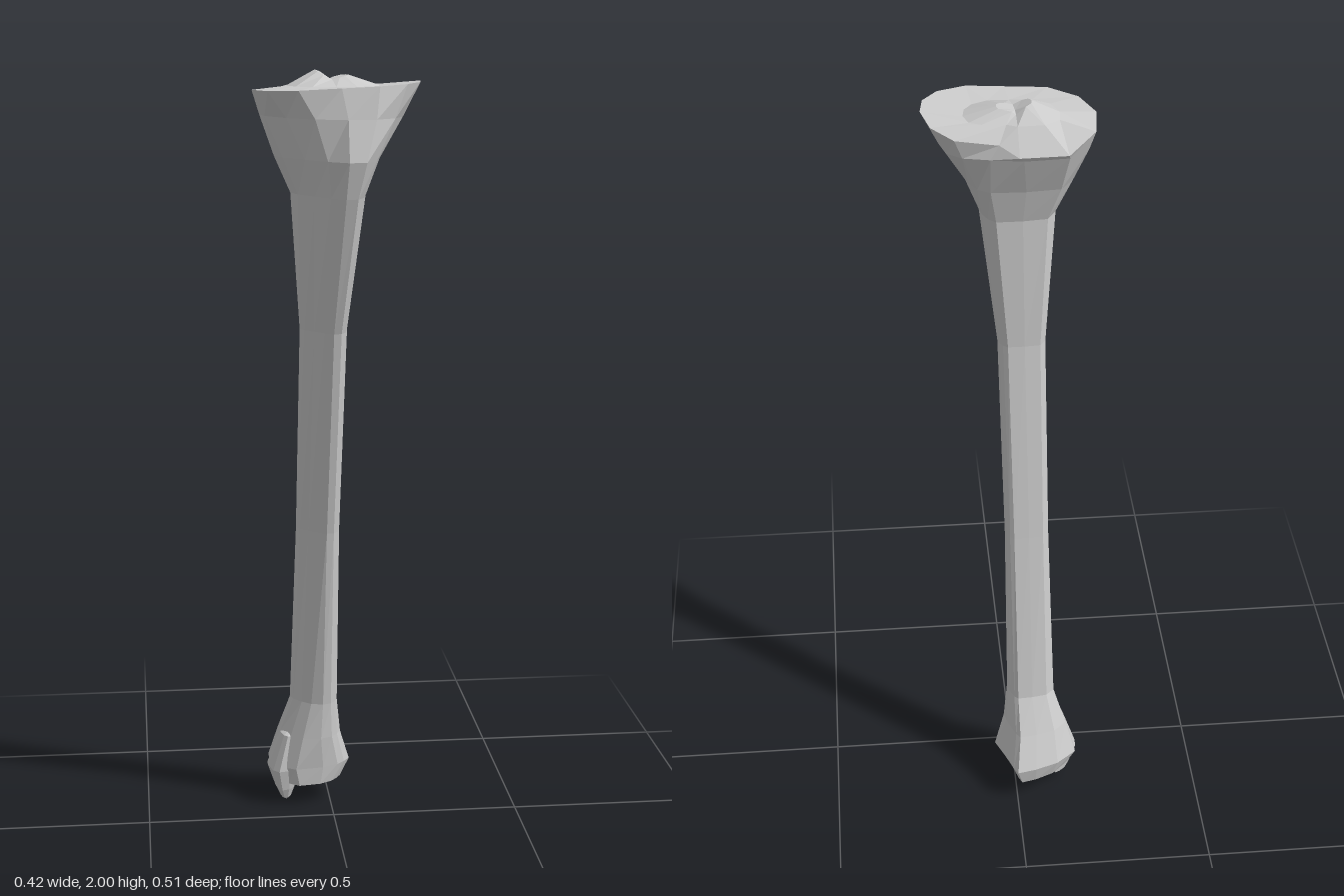
import * as THREE from 'three';

// Cross-section outlines in a unit box: u across x, v from back to front
const SHAFT = [[.12, .03], [.45, 0], [.8, 0], [.9, .08], [.97, .2], [1, .32], [.97, .55],
  [.92, .8], [.82, .97], [.66, 1], [.48, .84], [.28, .62], [.08, .4], [0, .2]];
const PLATEAU = [[.18, .02], [.46, 0], [.57, .09], [.82, .12], [.95, .21], [1, .46], [.98, .69],
  [.89, .88], [.72, 1], [.5, .99], [.25, .98], [.08, .79], [0, .48], [.02, .19]];
const ANKLE = [[.24, .16], [.52, .05], [.75, 0], [.8, .1], [.88, .35], [.94, .5], [1, .64],
  [.93, .75], [.84, .85], [.65, .95], [.31, 1], [.13, .88], [0, .57], [0, .37]];
const N = SHAFT.length;

// One ring of points; mix runs from ankle (-1) through shaft (0) to plateau (1)
function ring([y, x0, x1, z0, z1, mix], lift = () => 0) {
  const target = mix < 0 ? ANKLE : PLATEAU, t = Math.abs(mix);
  return SHAFT.map(([a, b], i) => {
    const u = a + (target[i][0] - a) * t, v = b + (target[i][1] - b) * t;
    return new THREE.Vector3(x0 + (x1 - x0) * u, y + lift(u, v), z0 + (z1 - z0) * v);
  });
}

// Skin a stack of rings from bottom to top, with optional end points
function loft(name, rings, bottom, top) {
  const pts = rings.flat(), index = [];
  for (let r = 0; r < rings.length - 1; r++) {
    for (let i = 0; i < N; i++) {
      const j = (i + 1) % N, a = r * N, b = a + N;
      index.push(a + i, b + i, a + j, b + i, b + j, a + j);
    }
  }
  const cap = (point, start, up) => {
    const c = pts.push(point) - 1;
    for (let i = 0; i < N; i++) {
      const p = start + i, q = start + (i + 1) % N;
      index.push(c, ...(up ? [q, p] : [p, q]));
    }
  };
  if (bottom) cap(bottom, 0, false);
  if (top) cap(top, (rings.length - 1) * N, true);
  const geometry = new THREE.BufferGeometry().setFromPoints(pts);
  geometry.setIndex(index);
  geometry.computeVertexNormals();
  const mesh = new THREE.Mesh(geometry, new THREE.MeshStandardMaterial({
    color: 0xcccccc, flatShading: true, side: THREE.DoubleSide }));
  mesh.name = name;
  return mesh;
}

export function createModel() {
  const model = new THREE.Group();
  model.name = 'shinBone';

  // Rim of the knee end: higher on the left, dropping at the back
  const rim = ring([1.953, -.21, .207, -.048, .21, 1],
    (u, v) => .02 * u - .06 * Math.max(0, (.25 - v) / .25));

  // Flared ankle end, and leaning shaft with a front crest
  const ankle = [
    [.06, -.14, .03, -.245, -.065, -1],
    [.11, -.165, .055, -.258, -.06, -1],
    [.2, -.14, .03, -.21, -.05, -.7],
    [.3, -.108, .02, -.16, -.05, -.4],
  ].map(r => ring(r));
  const shaft = [
    [.8, -.095, .02, -.08, .01, -.1],
    [1.35, -.09, .03, 0, .115, 0],
    [1.7, -.115, .07, .015, .235, 0],
  ].map(r => ring(r));
  // Flare under the knee, with the front bump
  const flare = [
    [1.79, -.155, .105, -.005, .257, .1],
    [1.89, -.192, .165, -.04, .23, .55],
  ].map(r => ring(r));

  model.add(loft('ankleEnd', ankle, new THREE.Vector3(-.05, .068, -.15)));
  model.add(loft('shaft', [ankle.at(-1), ...shaft]));
  model.add(loft('kneeFlare', [shaft.at(-1), ...flare, rim]));

  // Knee surface: shallow dish rising to a two-peaked centre
  const centre = new THREE.Vector3(-.015, 1.978, .05);
  const inner = (scale, y, peak) => rim.map(p => {
    const q = p.clone().sub(centre).multiplyScalar(scale).add(centre);
    const side = Math.abs(p.x - centre.x) / Math.hypot(p.x - centre.x, p.z - centre.z);
    q.y = y + peak * side * (p.x < 0 ? 1 : .5);
    return q;
  });
  model.add(loft('kneeSurface', [rim, inner(.55, 1.962, 0), inner(.2, 1.975, .025)], null, centre));

  // Inner ankle knob
  const knob = [
    [.012, -.135, -.108, -.145, -.1, -1],
    [.04, -.15, -.095, -.195, -.085, -1],
    [.1, -.17, -.08, -.2, -.07, -1],
    [.2, -.135, -.08, -.16, -.08, -1],
  ].map(r => ring(r));
  model.add(loft('ankleKnob', knob, new THREE.Vector3(-.12, 0, -.12), new THREE.Vector3(-.1, .22, -.12)));

  return model;
}
